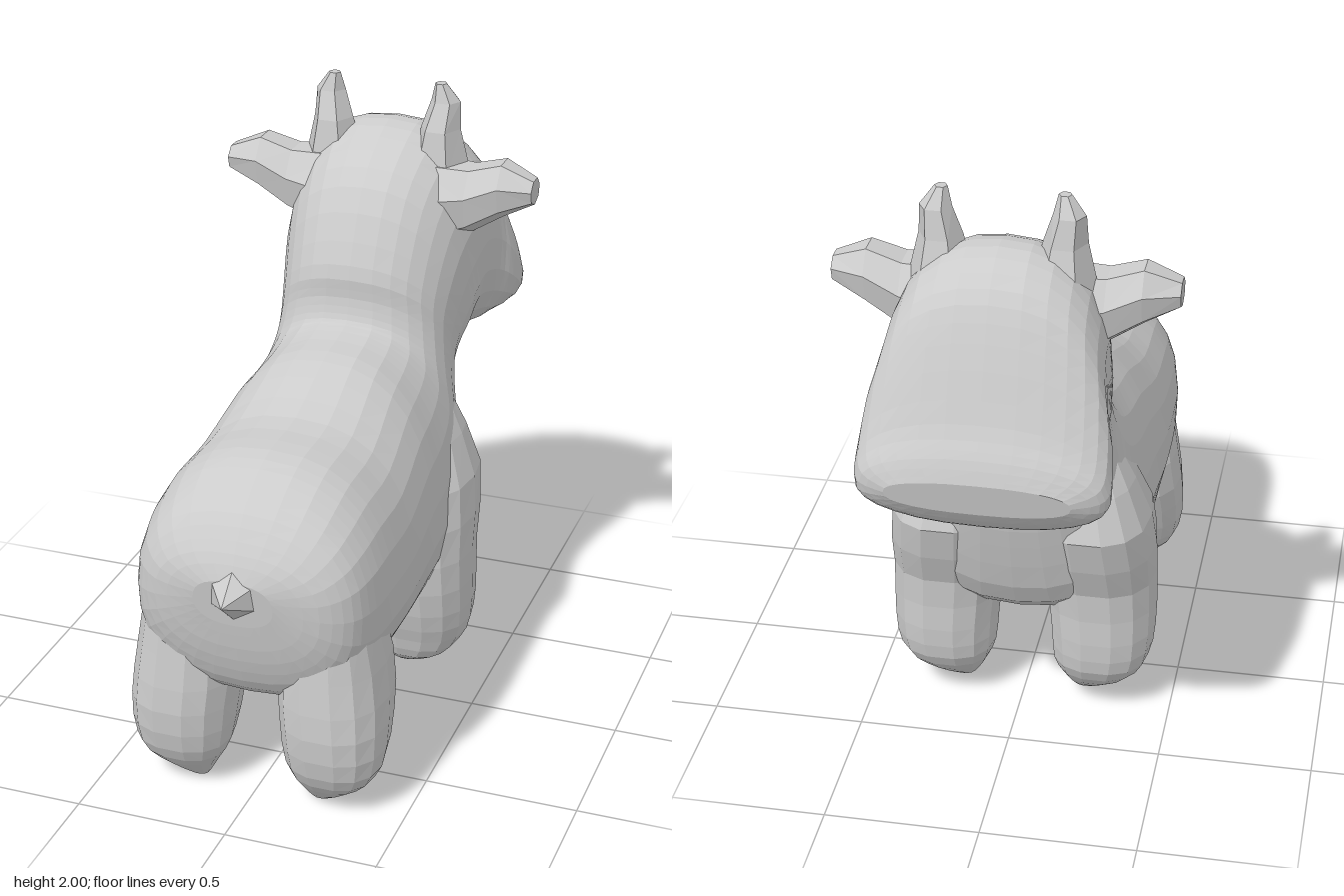
import * as THREE from 'three';

const material = new THREE.MeshStandardMaterial({ color: 0xcccccc, flatShading: true });

// Catmull-Rom blend of four cross-sections, value by value
function blend(a, b, c, d, t) {
  return b.map((_, k) => 0.5 * (2 * b[k] + (c[k] - a[k]) * t
    + (2 * a[k] - 5 * b[k] + 4 * c[k] - d[k]) * t * t
    + (3 * b[k] - a[k] - 3 * c[k] + d[k]) * t * t * t));
}

// Closed skin over sections [z0, y0, z1, y1, halfWidth, centreX, taper].
// (z0, y0) and (z1, y1) are the two ends of a rounded section across the side plane.
function loft(sections, sides, steps, power) {
  const rings = [];
  const at = i => sections[Math.min(Math.max(i, 0), sections.length - 1)];
  for (let i = 0; i < sections.length - 1; i++)
    for (let s = 0; s < steps; s++)
      rings.push(blend(at(i - 1), at(i), at(i + 1), at(i + 2), s / steps));
  rings.push(at(sections.length - 1));

  const positions = [], index = [];
  const round = v => Math.sign(v) * Math.pow(Math.abs(v), 2 / power);
  for (const [z0, y0, z1, y1, w, cx, taper] of rings)
    for (let j = 0; j < sides; j++) {
      const a = (j / sides) * Math.PI * 2;
      const u = round(Math.cos(a)), v = round(Math.sin(a));
      positions.push(cx + w * u * (1 - taper * v),
        (y0 + y1) / 2 + v * (y0 - y1) / 2, (z0 + z1) / 2 + v * (z0 - z1) / 2);
    }
  const last = (rings.length - 1) * sides, first = rings.length * sides;
  for (const [z0, y0, z1, y1, , cx] of [rings[0], rings[rings.length - 1]])
    positions.push(cx, (y0 + y1) / 2, (z0 + z1) / 2);
  for (let j = 0; j < sides; j++) {
    const k = (j + 1) % sides;
    for (let r = 0; r < last; r += sides)
      index.push(r + j, r + sides + j, r + k, r + k, r + sides + j, r + sides + k);
    index.push(first, j, k, first + 1, last + k, last + j);
  }
  const geometry = new THREE.BufferGeometry();
  geometry.setAttribute('position', new THREE.Float32BufferAttribute(positions, 3));
  geometry.setIndex(index);
  geometry.computeVertexNormals();
  return geometry;
}

function part(name, geometry) {
  const mesh = new THREE.Mesh(geometry, material);
  mesh.name = name;
  return mesh;
}

// Rump to muzzle: [back z, y, belly z, y, half width, taper towards the back]
const torso = [
  [0.91, 0.85, 0.89, 0.69, 0.13, 0], [0.875, 0.93, 0.86, 0.55, 0.27, 0],
  [0.80, 1.03, 0.80, 0.42, 0.355, 0.02], [0.70, 1.10, 0.68, 0.34, 0.39, 0.04],
  [0.57, 1.14, 0.55, 0.31, 0.40, 0.05], [0.35, 1.15, 0.35, 0.30, 0.40, 0.06],
  [0.10, 1.24, 0.13, 0.30, 0.39, 0.12], [-0.03, 1.26, -0.12, 0.32, 0.38, 0.14],
  [-0.10, 1.275, -0.36, 0.45, 0.36, 0.12], [-0.13, 1.29, -0.46, 0.72, 0.32, 0.06],
  [-0.15, 1.36, -0.50, 0.90, 0.30, 0.05], [-0.16, 1.47, -0.54, 0.99, 0.30, 0.10],
  [-0.28, 1.70, -0.59, 1.01, 0.32, 0.10], [-0.45, 1.82, -0.64, 1.01, 0.33, 0.02],
  [-0.60, 1.85, -0.68, 1.01, 0.335, 0], [-0.74, 1.78, -0.74, 1.01, 0.35, 0.03],
  [-0.82, 1.64, -0.80, 1.02, 0.375, 0.06], [-0.91, 1.42, -0.87, 1.05, 0.385, 0.06],
  [-0.96, 1.33, -0.92, 1.09, 0.36, 0.04], [-0.985, 1.26, -0.965, 1.15, 0.28, 0],
].map(([z0, y0, z1, y1, w, taper]) => [z0, y0, z1, y1, w, 0, taper]);

// Limb section at one height: z range, then x range
const slice = (y, z0, z1, x0, x1) => [z0, y, z1, y, (x1 - x0) / 2, (x0 + x1) / 2, 0];

const frontLeg = [
  slice(1.00, -0.36, -0.14, 0.10, 0.32), slice(0.75, -0.46, 0.02, 0.05, 0.425),
  slice(0.50, -0.37, 0.04, 0.07, 0.44), slice(0.30, -0.36, 0.01, 0.09, 0.44),
  slice(0.18, -0.345, -0.03, 0.10, 0.42), slice(0.10, -0.29, -0.06, 0.13, 0.36),
  slice(0.04, -0.22, -0.14, 0.17, 0.25),
];
const backLeg = [
  slice(0.85, 0.56, 0.80, 0.12, 0.34), slice(0.50, 0.42, 0.84, 0.07, 0.405),
  slice(0.30, 0.47, 0.855, 0.08, 0.425), slice(0.15, 0.54, 0.83, 0.10, 0.41),
  slice(0.07, 0.59, 0.78, 0.14, 0.35), slice(0, 0.65, 0.71, 0.18, 0.24),
];
const horn = [
  slice(1.70, -0.42, -0.66, 0.08, 0.29), slice(1.85, -0.45, -0.61, 0.12, 0.255),
  slice(1.94, -0.49, -0.59, 0.15, 0.25), slice(2.00, -0.51, -0.55, 0.165, 0.205),
];
// The ear grows sideways, so it is lofted upright and then laid over
const ear = [
  slice(0.12, -0.34, -0.66, -1.76, -1.44), slice(0.31, -0.38, -0.60, -1.75, -1.51),
  slice(0.42, -0.39, -0.58, -1.78, -1.58), slice(0.53, -0.42, -0.53, -1.73, -1.64),
];

export function createModel() {
  const model = new THREE.Group();
  model.name = 'calf';
  model.add(part('bodyAndHead', loft(torso, 28, 3, 2.4)));

  // Short pointed tail
  const tail = part('tail', new THREE.ConeGeometry(0.14, 0.16, 6).rotateX(Math.PI / 2));
  tail.position.set(0, 0.8, 0.91);
  model.add(tail);

  // Paired parts, mirrored across the middle
  for (const side of [1, -1]) {
    const half = new THREE.Group();
    half.name = side > 0 ? 'leftParts' : 'rightParts';
    half.scale.x = side;
    half.add(
      part('frontLeg', loft(frontLeg, 14, 2, 2.4)),
      part('backLeg', loft(backLeg, 14, 2, 2.4)),
      part('horn', loft(horn, 6, 1, 2)),
      part('ear', loft(ear, 7, 1, 2).rotateZ(-Math.PI / 2)),
    );
    model.add(half);
  }
  return model;
}
